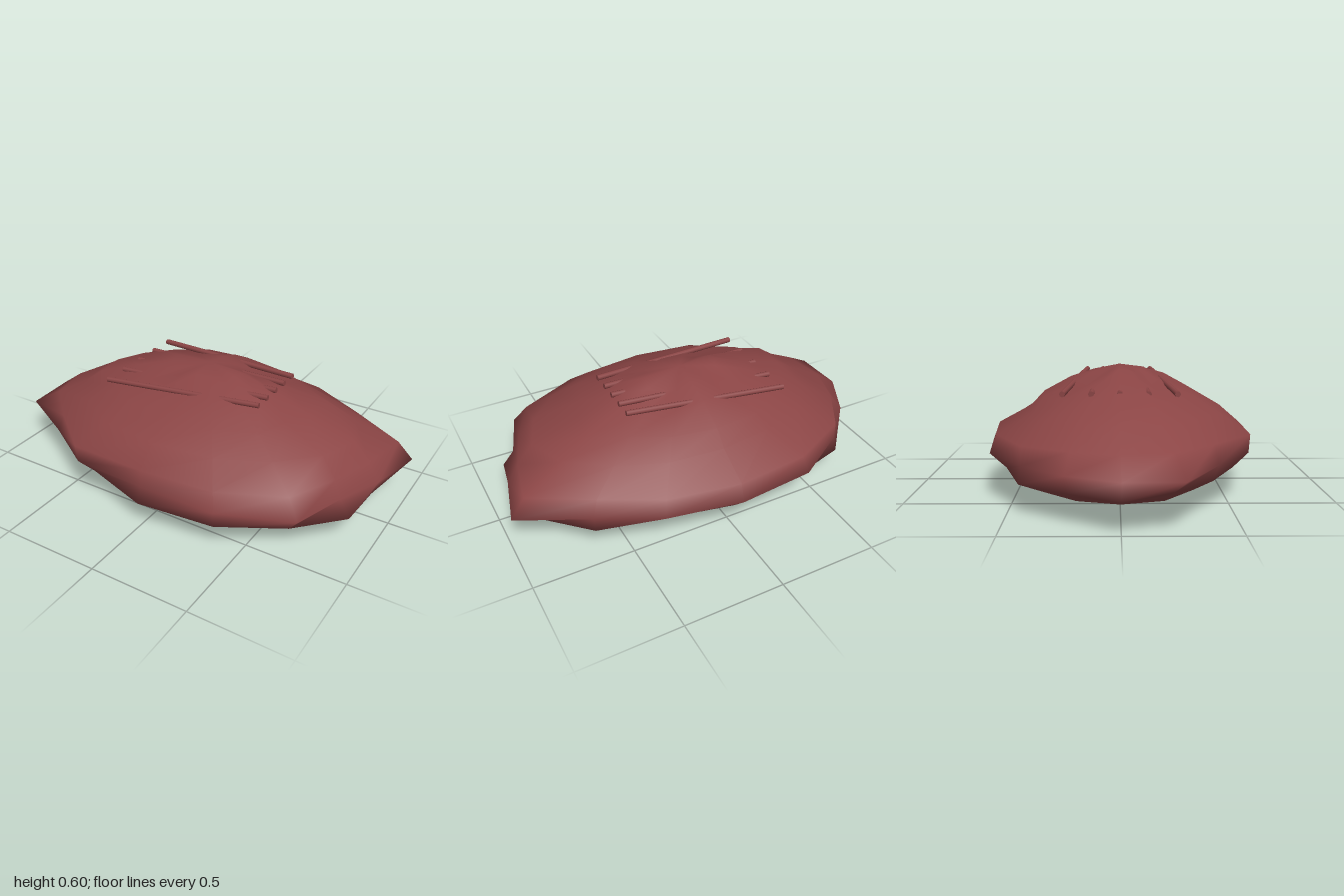
import * as THREE from 'three';
import { mergeVertices } from 'three/addons/utils/BufferGeometryUtils.js';

const SIDES = 16;
const angleAt = (j) => (j / SIDES) * Math.PI * 2;

// Uneven outlines, from +x towards +z, as factors of an ellipse
const SHOULDER = [1, 0.98, 0.98, 1, 1, 1, 0.94, 0.92, 0.88, 0.88, 0.9, 0.88, 0.88, 0.9, 0.92, 0.98];
const UPPER = [0.87, 0.86, 0.96, 0.98, 0.95, 1.02, 0.9, 0.9, 0.87, 0.87, 0.95, 0.97, 0.95, 0.93, 0.9, 1.0];
const RIM = [0.93, 0.9, 1.05, 1.03, 0.96, 1.01, 0.94, 1.06, 0.99, 0.94, 0.95, 1.02, 1.0, 0.97, 0.94, 1.08];
const LOWER = [0.9, 0.96, 0.97, 1.02, 1.0, 0.9, 0.89, 0.9, 1.0, 0.92, 0.97, 0.9, 0.88, 0.84, 0.93, 0.93];
const BELLY = [1, 1.05, 0.95, 0.92, 0.85, 0.85, 0.9, 0.95, 0.95, 0.95, 0.95, 0.87, 0.9, 0.88, 0.88, 0.95];

// Uneven heights of the two rings round the top, and the tilted underside
const CROWN_Y = [
  0.59, 0.585, 0.57, 0.58, 0.59, 0.575, 0.57, 0.585, 0.595, 0.585, 0.57, 0.575, 0.58, 0.56, 0.545, 0.565,
];
const TOP_Y = [
  0.54, 0.545, 0.53, 0.545, 0.515, 0.515, 0.51, 0.535, 0.525, 0.542, 0.515, 0.515, 0.542, 0.51, 0.51, 0.525,
];
const BASE_Y = Array.from({ length: SIDES }, (_, j) => 0.043 - 0.014 * Math.cos(angleAt(j)));

// Rings from top to bottom: height (one or per side), scale, outline
const RINGS = [
  [0.605, 0, RIM],
  [CROWN_Y, 0.2, RIM],
  [TOP_Y, 0.38, RIM],
  [0.468, 0.59, RIM],
  [0.395, 0.79, SHOULDER],
  [0.305, 1, UPPER],
  [0.217, 1, RIM],
  [0.138, 1, LOWER],
  [0.07, 0.81, BELLY],
  [BASE_Y, 0.52, BELLY],
  [0.032, 0.22, BELLY],
  [0.002, 0, BELLY],
];

// Lumpy slab built from the rings
function slabGeometry() {
  const positions = [];
  const index = [];
  RINGS.forEach(([y, scale, outline], i) => {
    for (let j = 0; j < SIDES; j++) {
      const angle = angleAt(j);
      const r = scale * outline[j];
      positions.push(r * Math.cos(angle), Array.isArray(y) ? y[j] : y, r * 0.65 * Math.sin(angle));
      if (i === RINGS.length - 1) continue;
      const a = i * SIDES + j;
      const b = i * SIDES + ((j + 1) % SIDES);
      const c = a + SIDES;
      const d = b + SIDES;
      // The first and last rings are single points and need one triangle per side
      if (i > 0) index.push(a, b, d);
      if (i < RINGS.length - 2) index.push(a, d, c);
    }
  });
  const geometry = new THREE.BufferGeometry();
  geometry.setAttribute('position', new THREE.Float32BufferAttribute(positions, 3));
  geometry.setIndex(index);
  const welded = mergeVertices(geometry, 1e-4);
  welded.computeVertexNormals();
  return welded;
}

// Thin rod between two points
function rod(from, to, radius, material) {
  const dir = to.clone().sub(from);
  const mesh = new THREE.Mesh(new THREE.CylinderGeometry(radius, radius, dir.length(), 8), material);
  mesh.position.copy(from).add(to).multiplyScalar(0.5);
  mesh.quaternion.setFromUnitVectors(new THREE.Vector3(0, 1, 0), dir.normalize());
  return mesh;
}

export function createModel() {
  const group = new THREE.Group();
  const meat = new THREE.MeshStandardMaterial({ color: 0x8b4545 });
  meat.name = 'brownish red';

  const slab = new THREE.Mesh(slabGeometry(), meat);
  slab.name = 'meatSlab';
  group.add(slab);

  // Five grill marks fanning out slightly towards -x
  const marks = new THREE.Group();
  marks.name = 'grillMarks';
  for (let i = -2; i <= 2; i++) {
    const mark = rod(
      new THREE.Vector3(-0.445, 0.502, i * 0.133),
      new THREE.Vector3(0.372, 0.546, i * 0.087),
      0.014,
      meat
    );
    mark.name = 'grillMark';
    marks.add(mark);
  }
  group.add(marks);
  return group;
}
